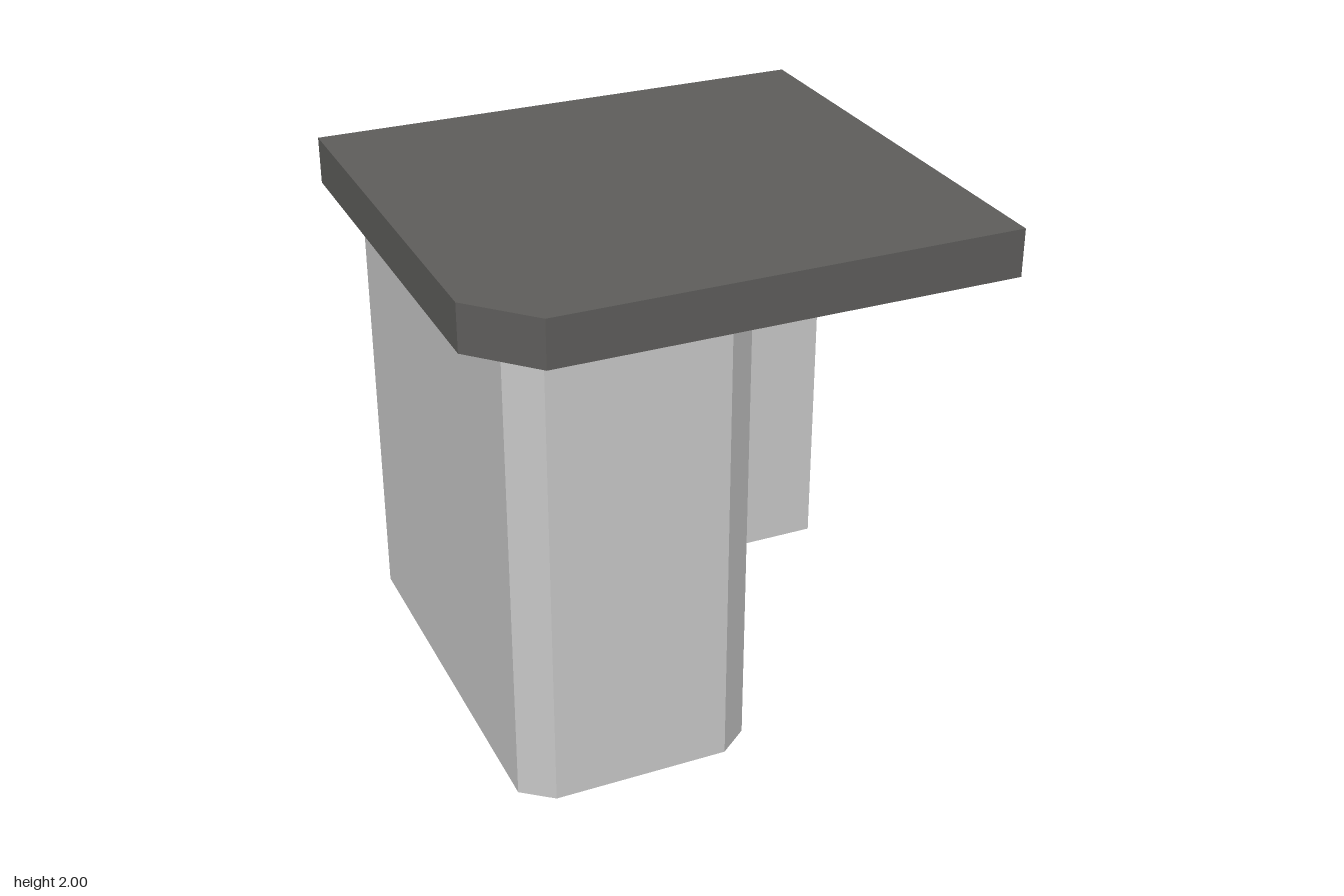
import * as THREE from 'three';

const SLAB_BOTTOM = 1.82;
const WALL_TOP = 1.825;

// Outlines as [x, z], counter-clockwise seen from above
const slabOutline = [[-0.98, 0.68], [-0.765, 0.905], [0.98, 0.905], [0.98, -0.91], [-0.98, -0.91]];
const wallOutline = [
  [-0.835, 0.67], [-0.72, 0.76], [-0.045, 0.76], [0.07, 0.67],
  [0.07, -0.525], [0.981, -0.525], [0.981, -0.885], [-0.835, -0.885],
];

// Solid plate with the given outline
function plate(outline, bottom, top) {
  const shape = new THREE.Shape(outline.map(([x, z]) => new THREE.Vector2(x, -z)));
  const geo = new THREE.ExtrudeGeometry(shape, { depth: top - bottom, bevelEnabled: false });
  return geo.rotateX(-Math.PI / 2).translate(0, bottom, 0);
}

// Closed ring of upright walls, open below and above
function wallRing(outline, height) {
  const pos = [];
  outline.forEach(([ax, az], i) => {
    const [bx, bz] = outline[(i + 1) % outline.length];
    pos.push(ax, 0, az, bx, 0, bz, bx, height, bz);
    pos.push(ax, 0, az, bx, height, bz, ax, height, az);
  });
  const geo = new THREE.BufferGeometry();
  geo.setAttribute('position', new THREE.Float32BufferAttribute(pos, 3));
  geo.computeVertexNormals();
  return geo;
}

export function createModel() {
  const roofGrey = new THREE.MeshStandardMaterial({ color: 0x5e5d5b });
  roofGrey.name = 'dark grey';
  const wallGrey = new THREE.MeshStandardMaterial({ color: 0xc8c8c8, side: THREE.DoubleSide });
  wallGrey.name = 'light grey';

  const group = new THREE.Group();
  group.name = 'building';

  // Overhanging roof slab with one cut corner
  const roof = new THREE.Mesh(plate(slabOutline, SLAB_BOTTOM, 2), roofGrey);
  roof.name = 'roofSlab';

  // L-shaped hollow walls with two chamfered front corners
  const walls = new THREE.Mesh(wallRing(wallOutline, WALL_TOP), wallGrey);
  walls.name = 'walls';

  group.add(roof, walls);
  return group;
}
